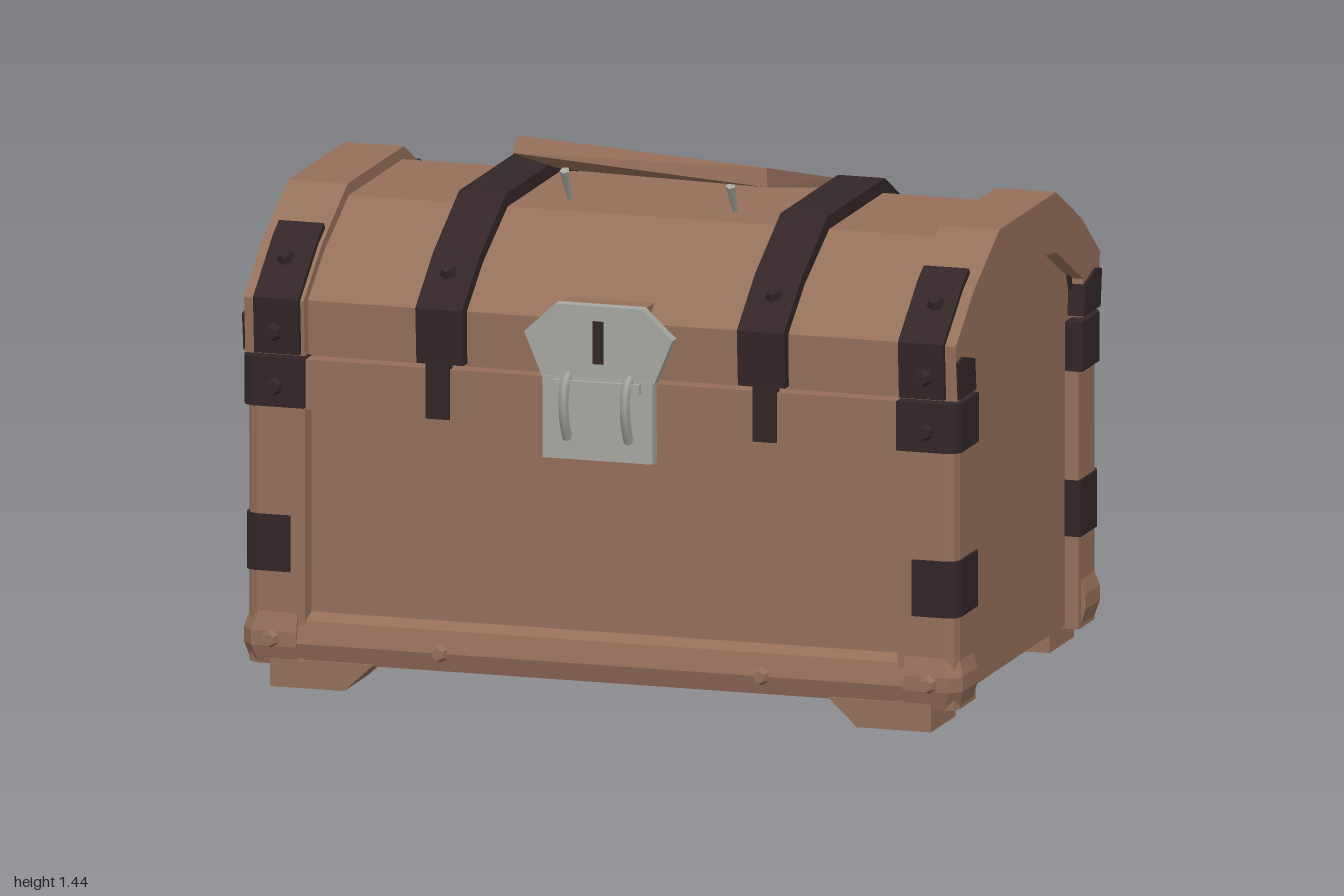
import * as THREE from 'three';
import { ConvexGeometry } from 'three/addons/geometries/ConvexGeometry.js';

const material = (name, color) => {
  const m = new THREE.MeshStandardMaterial({ color });
  m.name = name;
  return m;
};

export function createModel() {
  const wood = material('brown wood', 0x956f5a);
  const iron = material('dark iron', 0x322628);
  const steel = material('grey steel', 0xa6a6a1);

  const root = new THREE.Group();
  root.name = 'chest';
  const chest = new THREE.Group();
  chest.name = 'chestBody';
  chest.position.z = -0.02;
  root.add(chest);

  const add = (parent, name, geo, mat) => {
    const m = new THREE.Mesh(geo, mat);
    m.name = name;
    parent.add(m);
    return m;
  };
  const box = (parent, name, mat, x0, x1, y0, y1, z0, z1) => {
    const g = new THREE.BoxGeometry(Math.abs(x1 - x0), y1 - y0, z1 - z0);
    g.translate((x0 + x1) / 2, (y0 + y1) / 2, (z0 + z1) / 2);
    return add(parent, name, g, mat);
  };
  const outline = pts => new THREE.Shape(pts.map(([a, b]) => new THREE.Vector2(a, b)));
  // Side profile of (z, y) points, extruded from x0 to x1
  const acrossX = (pts, x0, x1) =>
    new THREE.ExtrudeGeometry(outline(pts), { depth: x1 - x0, bevelEnabled: false })
      .rotateY(-Math.PI / 2).translate(x1, 0, 0);
  // Upright corner piece with a chamfered outer edge
  const corner = (parent, name, mat, s, x0, x1, z0, z1, y0, y1, c = 0.03) => {
    const pts = [[x0, z0], [x1, z0], [x1, z1 - c], [x1 - c * 0.3, z1 - c * 0.3], [x1 - c, z1], [x0, z1]];
    const g = new THREE.ExtrudeGeometry(outline(pts.map(([x, z]) => [s * x, -z])),
      { depth: y1 - y0, bevelEnabled: false });
    add(parent, name, g.rotateX(-Math.PI / 2).translate(0, y0, 0), mat);
  };
  const rivet = (parent, mat, x, y, z, tilt = Math.PI / 2, r = 0.03) => {
    const m = add(parent, 'rivet', new THREE.CylinderGeometry(r * 0.55, r, 0.035, 6).toNonIndexed(), mat);
    m.geometry.computeVertexNormals();
    m.position.set(x, y, z);
    m.rotation.x = tilt;
  };

  // Box body and domed lid
  const mirror = half => [...half, ...half.map(([z, y]) => [-z, y]).reverse()];
  const outer = [[0.605, 0.895], [0.615, 1.045], [0.46, 1.165], [0.24, 1.283]];
  const lidCore = [[0.575, 0.895], [0.58, 1.04], [0.44, 1.145], [0.23, 1.25]];
  const inner = [[0.47, 0.895], [0.47, 1.0], [0.24, 1.12], [0.02, 1.145]];
  box(chest, 'bodyPanels', wood, -0.945, 0.945, 0.07, 0.895, -0.55, 0.55);
  add(chest, 'lid', acrossX(mirror(lidCore), -0.945, 0.945), wood);
  const arch = [...mirror(outer), ...mirror(inner).reverse()];
  for (const s of [-1, 1]) {
    const [a, b] = s > 0 ? [0.82, 0.985] : [-0.985, -0.82];
    add(chest, 'lidEndArch', acrossX(arch, a, b), wood);
    const strap = outer.map(([z, y]) => [z + 0.004, y + 0.004]);
    add(chest, 'lidStrap', acrossX(mirror(strap), s * 0.445 - 0.065, s * 0.445 + 0.065), iron);
  }

  // Details shared by front and back
  const patch = [[0.5, 0.9], [0.622, 0.9], [0.632, 1.052], [0.46, 1.185], [0.41, 1.212], [0.38, 1.16]];
  for (const turn of [0, Math.PI]) {
    const side = new THREE.Group();
    side.name = turn ? 'backSide' : 'frontSide';
    side.rotation.y = turn;
    chest.add(side);
    box(side, 'upperRail', wood, -0.83, 0.83, 0.75, 0.885, 0.5, 0.6);
    const rail = [[0.5, 0.07], [0.6, 0.07], [0.615, 0.12], [0.6, 0.18], [0.55, 0.195], [0.5, 0.195]];
    add(side, 'lowerRail', acrossX(rail, -0.84, 0.84), wood);
    for (const s of [-1, 1]) {
      corner(side, 'cornerPost', wood, s, 0.82, 0.983, 0.44, 0.603, 0.06, 0.885);
      corner(side, 'upperCornerBand', iron, s, 0.82, 0.993, 0.44, 0.615, 0.755, 0.888);
      corner(side, 'middleCornerBand', iron, s, 0.86, 0.989, 0.437, 0.609, 0.31, 0.462);
      // Swollen guard at the foot of the post
      const guard = [];
      for (const [y, g] of [[0.06, 0], [0.11, 0.015], [0.15, 0.015], [0.2, 0]])
        for (const [x, z] of [[0.84, 0.46], [0.98 + g, 0.46], [0.98 + g, 0.57 + g], [0.95 + g, 0.603 + g], [0.84, 0.603 + g]])
          guard.push(new THREE.Vector3(s * x, y, z));
      add(side, 'cornerGuard', new ConvexGeometry(guard), wood);
      // Foot with one sloped inner face
      const foot = new THREE.ExtrudeGeometry(
        outline([[0.71, 0], [0.915, 0], [0.915, 0.075], [0.63, 0.075]].map(([x, y]) => [s * x, y])),
        { depth: 0.21, bevelEnabled: false });
      add(side, 'foot', foot.translate(0, 0, 0.4), wood);
      // Lid corner ironwork
      const [a, b] = s > 0 ? [0.83, 0.955] : [-0.955, -0.83];
      add(side, 'lidCornerStrap', acrossX(patch, a, b), iron);
      const wrap = [[0.46, 0.9], [0.6, 0.9], [0.612, 1.0], [0.57, 1.01], [0.47, 0.985]];
      add(side, 'lidCornerWrap', acrossX(wrap, s > 0 ? 0.94 : -0.992, s > 0 ? 0.992 : -0.94), iron);
      box(side, 'strapTail', iron, s * 0.453 - 0.033, s * 0.453 + 0.033, 0.75, 0.9, 0.58, 0.607);
      // Rivets
      rivet(side, iron, s * 0.9, 0.81, 0.618);
      rivet(side, iron, s * 0.9, 1.14, 0.525, 0.66);
      rivet(side, iron, s * 0.9, 0.96, 0.632);
      rivet(side, iron, s * 0.45, 1.13, 0.52, 0.66);
      rivet(side, wood, s * 0.445, 0.12, 0.615);
      rivet(side, wood, s * 0.91, 0.13, 0.622);
    }
  }

  // Lock: wooden backing, steel plate, keyhole and hasp
  const lock = new THREE.Group();
  lock.name = 'lock';
  root.add(lock);
  box(lock, 'lockBacking', wood, -0.12, 0.12, 0.69, 1.085, 0.5, 0.6);
  const plate = outline([[-0.12, 1.09], [-0.205, 1.01], [-0.155, 0.89], [0.155, 0.89], [0.205, 1.01], [0.12, 1.09]]);
  add(lock, 'lockPlate', new THREE.ExtrudeGeometry(plate, { depth: 0.035, bevelEnabled: false }).translate(0, 0, 0.575), steel);
  box(lock, 'haspPlate', steel, -0.152, 0.152, 0.675, 0.895, 0.575, 0.615);
  box(lock, 'keyhole', iron, -0.015, 0.015, 0.935, 1.05, 0.606, 0.614);
  for (const s of [-1, 1]) {
    const hook = new THREE.CatmullRomCurve3([[0.6, 0.9], [0.635, 0.88], [0.645, 0.83], [0.635, 0.78], [0.61, 0.73]]
      .map(([z, y]) => new THREE.Vector3(s * 0.085, y, z)));
    add(lock, 'haspHook', new THREE.TubeGeometry(hook, 8, 0.014, 5), steel);
  }
  box(lock, 'haspBar', steel, -0.12, 0.12, 0.865, 0.89, 0.6, 0.632);

  // Loose plank lifted off the top of the lid, with its nails
  const plank = [
    [-0.35, 1.443, 0.21], [0.33, 1.398, 0.19], [-0.36, 1.4, 0.232], [0.335, 1.348, 0.2],
    [-0.385, 1.275, -0.265], [0.36, 1.275, -0.28], [-0.385, 1.25, -0.26], [0.36, 1.25, -0.27],
  ].map(p => new THREE.Vector3(...p));
  add(root, 'liftedPlank', new ConvexGeometry(plank), wood);
  for (const [x, y] of [[-0.25, 1.29], [0.21, 1.28]]) {
    const nail = add(root, 'nail', new THREE.CylinderGeometry(0.014, 0.006, 0.11, 5), steel);
    nail.position.set(x, y, 0.1);
    nail.rotation.x = 0.5;
  }
  return root;
}
